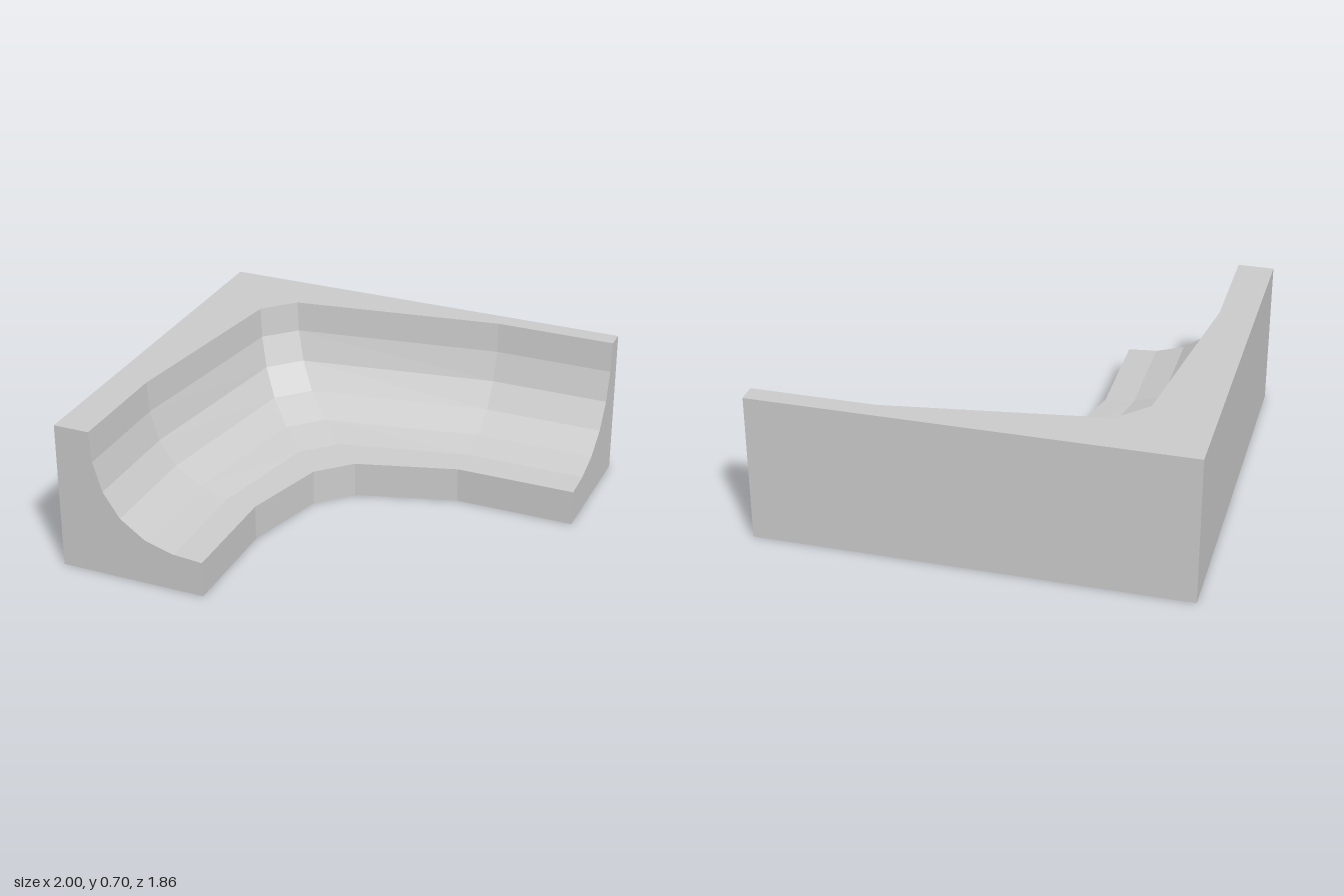
import * as THREE from 'three';

const H = 0.705;
// Cove profile: [fraction from rim to lip, height]
const COVE = [[0, H], [0.02, 0.56], [0.1, 0.42], [0.25, 0.303], [0.475, 0.22], [0.735, 0.18], [1, 0.17]];

// Plan stations along the bend: outer wall, cove rim and floor lip, each as [x, z]
const STATIONS = [
  { wall: [-1, 0.93], rim: [-0.83, 0.93], lip: [-0.3, 0.93] },
  { wall: [-1, 0.4], rim: [-0.83, 0.4], lip: [-0.3, 0.39] },
  { wall: [-1, -0.93], rim: [-0.705, -0.55], lip: [-0.19, -0.02] },
  { wall: [-1, -0.93], rim: [-0.57, -0.69], lip: [-0.04, -0.17] },
  { wall: [0.43, -0.93], rim: [0.43, -0.84], lip: [0.43, -0.31] },
  { wall: [1, -0.93], rim: [1, -0.84], lip: [1, -0.31] },
];

// Closed cross-section: up the wall, over the top, down the cove, down the lip
function section({ wall, rim, lip }) {
  const at = ([x, z], y) => new THREE.Vector3(x, y, z);
  const cove = COVE.map(([t, y]) => at(rim, y).lerp(at(lip, y), t));
  return [at(wall, 0), at(wall, H), ...cove, at(lip, 0)];
}

function sweepGeometry(rings) {
  const points = [];
  const tri = (a, b, c) => {
    if (new THREE.Triangle(a, b, c).getArea() > 1e-6) points.push(a, b, c);
  };
  const n = rings[0].length;

  // Skin between neighbouring sections
  for (let s = 0; s < rings.length - 1; s++) {
    for (let j = 0; j < n; j++) {
      const k = (j + 1) % n;
      const [a, b, c, d] = [rings[s][j], rings[s][k], rings[s + 1][k], rings[s + 1][j]];
      tri(a, b, c);
      tri(a, c, d);
    }
  }

  // End caps, fanned from the bottom corner of the wall
  const first = rings[0], last = rings[rings.length - 1];
  for (let j = 1; j < n - 1; j++) {
    tri(first[0], first[j + 1], first[j]);
    tri(last[0], last[j], last[j + 1]);
  }

  const geometry = new THREE.BufferGeometry().setFromPoints(points);
  geometry.computeVertexNormals();
  return geometry;
}

export function createModel() {
  const group = new THREE.Group();
  group.name = 'curvedCornerWall';
  const material = new THREE.MeshStandardMaterial({ color: 0xcccccc, flatShading: true });
  const ramp = new THREE.Mesh(sweepGeometry(STATIONS.map(section)), material);
  ramp.name = 'cornerRamp';
  group.add(ramp);
  return group;
}
